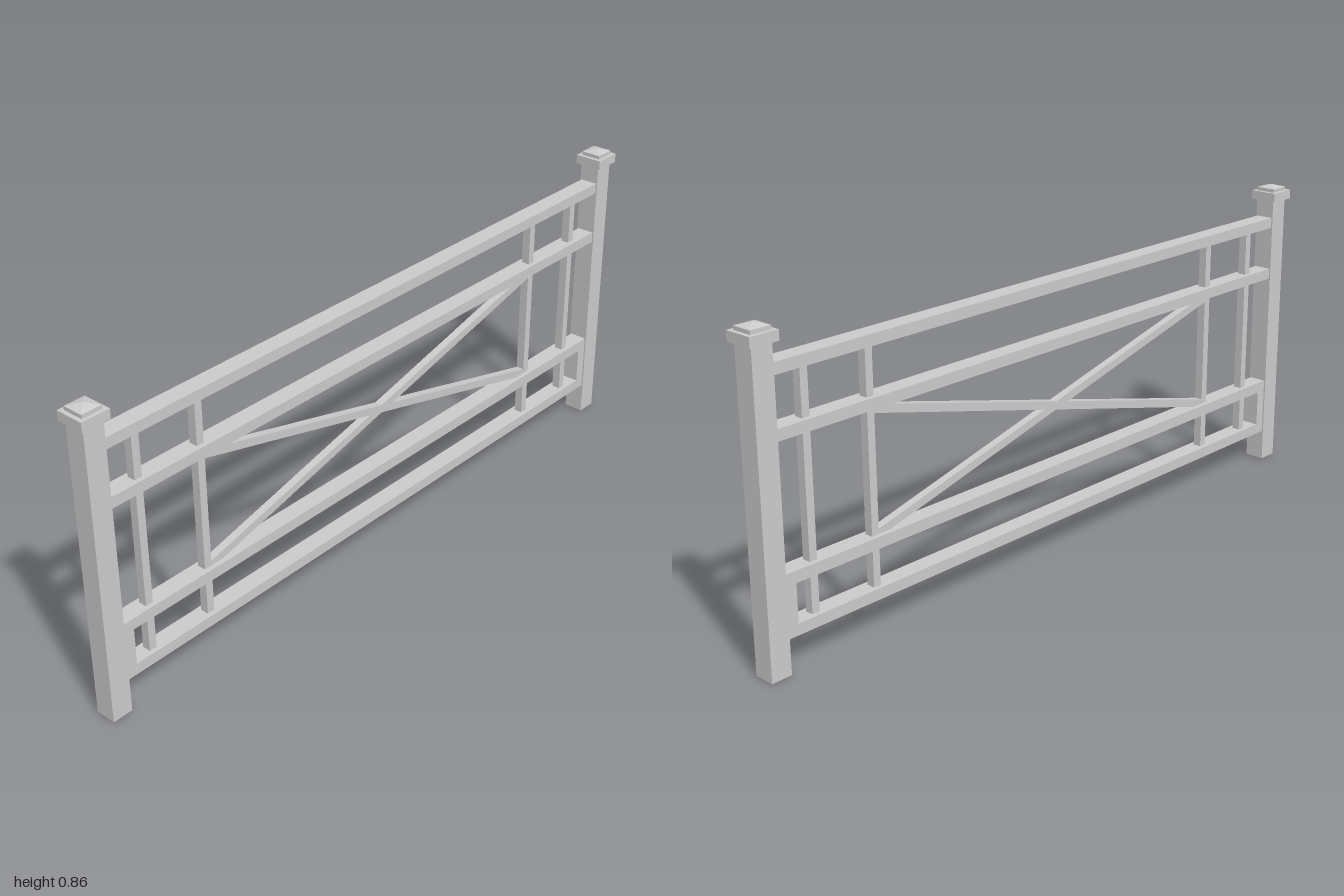
import * as THREE from 'three';

const material = new THREE.MeshStandardMaterial({ color: 0xcccccc, flatShading: true });
const openMaterial = new THREE.MeshStandardMaterial({ color: 0xcccccc, flatShading: true, side: THREE.DoubleSide });

function add(parent, name, geometry, x, y, z = 0, mat = material) {
  const mesh = new THREE.Mesh(geometry, mat);
  mesh.name = name;
  mesh.position.set(x, y, z);
  parent.add(mesh);
  return mesh;
}

// Box given by its centre x, its bottom and top, width and depth
function bar(parent, name, x, y0, y1, width, depth) {
  return add(parent, name, new THREE.BoxGeometry(width, y1 - y0, depth), x, (y0 + y1) / 2);
}

// Four-sided prism or pyramid with its sides facing the axes
function square(topHalf, bottomHalf, height, open) {
  const r = Math.SQRT2;
  return new THREE.CylinderGeometry(topHalf * r, bottomHalf * r, height, 4, 1, open).rotateY(Math.PI / 4);
}

export function createModel() {
  const group = new THREE.Group();
  group.name = 'fencePanel';

  // Posts, hollow at the foot, with stepped caps
  for (const side of [-1, 1]) {
    const post = new THREE.Group();
    post.name = side > 0 ? 'leftPost' : 'rightPost';
    post.position.x = side * 0.96;
    group.add(post);
    add(post, 'shaft', square(0.029, 0.029, 0.815, true), 0, 0.4075, 0, openMaterial);
    bar(post, 'capSlab', 0, 0.812, 0.838, 0.08, 0.08);
    bar(post, 'capNeck', 0, 0.838, 0.848, 0.058, 0.058);
    add(post, 'capPyramid', square(0, 0.029, 0.008, true), 0, 0.852);
  }

  // Horizontal rails
  const rails = [
    ['bottomRail', 0.09, 0.12],
    ['lowerRail', 0.223, 0.254],
    ['upperRail', 0.577, 0.607],
    ['topRail', 0.732, 0.762],
  ];
  for (const [name, y0, y1] of rails) bar(group, name, 0, y0, y1, 1.864, 0.05);

  // Uprights between the rails, and short blocks beside the posts
  const gaps = [[0.12, 0.223], [0.254, 0.577], [0.607, 0.732]];
  for (const side of [-1, 1]) {
    for (const x of [0.645, 0.837]) {
      for (const [y0, y1] of gaps) bar(group, 'upright', side * x, y0, y1, 0.022, 0.024);
    }
    bar(group, 'postBlock', side * 0.916, 0.12, 0.223, 0.032, 0.05);
  }

  // Crossed braces
  const dx = 1.275, dy = 0.32;
  for (const side of [-1, 1]) {
    const brace = add(group, 'crossBrace', new THREE.BoxGeometry(Math.hypot(dx, dy), 0.022, 0.022), 0, 0.415);
    brace.rotation.z = side * Math.atan2(dy, dx);
  }

  return group;
}
